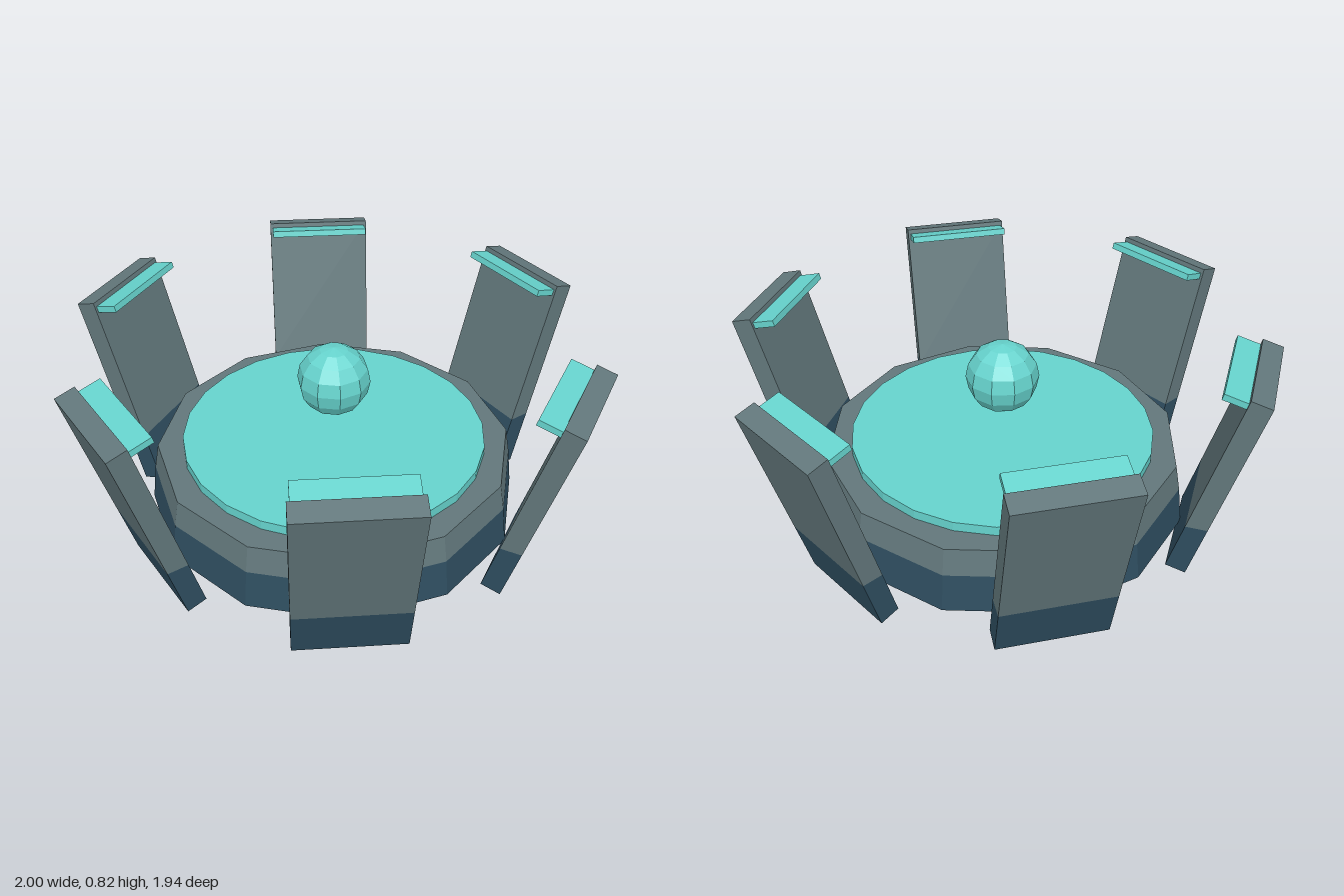
import * as THREE from 'three';

const flat = (name, color) => {
  const m = new THREE.MeshStandardMaterial({ color, flatShading: true });
  m.name = name;
  return m;
};

export function createModel() {
  const stone = flat('grey stone', 0x62777b);
  const deep = flat('dark blue stone', 0x2e4d5f);
  const teal = flat('glowing teal', 0x66d3cd);

  const model = new THREE.Group();
  model.name = 'ringPlatform';

  const add = (parent, name, geometry, material, y = 0) => {
    const mesh = new THREE.Mesh(geometry, material);
    mesh.name = name;
    mesh.position.y = y;
    parent.add(mesh);
    return mesh;
  };

  // Twelve-sided tapering base in two colour bands
  const SPLIT = 0.225;
  const band = (r0, r1, y0, y1, sides) =>
    new THREE.CylinderGeometry(r1, r0, y1 - y0, sides).translate(0, (y0 + y1) / 2, 0);
  add(model, 'baseLower', band(0.73, 0.71, 0.075, SPLIT, 12), deep);
  add(model, 'baseUpper', band(0.71, 0.69, SPLIT, 0.33, 12), stone);

  // Raised disc and floating orb
  add(model, 'disc', band(0.59, 0.59, 0.33, 0.368, 24), teal);
  add(model, 'orb', new THREE.SphereGeometry(0.14, 10, 8).rotateY(Math.PI / 2), teal, 0.61);

  // Pillar cross-section, leaning outward, in its own tilted frame
  const TILT = Math.PI / 12, HALF_T = 0.04, HALF_L = 0.41;
  const c = Math.cos(TILT), s = Math.sin(TILT);
  const point = (u, v) => new THREE.Vector2(0.855 + u * c + v * s, 0.407 - u * s + v * c);
  const slab = (points, width) =>
    new THREE.ExtrudeGeometry(new THREE.Shape(points), { depth: width, bevelEnabled: false })
      .translate(0, 0, -width / 2);

  const innerLow = point(-HALF_T, -HALF_L), outerLow = point(HALF_T, -HALF_L);
  const innerTop = point(-HALF_T, HALF_L), outerTop = point(HALF_T, HALF_L);
  const atSplit = (a, b) => a.clone().lerp(b, (SPLIT - a.y) / (b.y - a.y));
  const innerMid = atSplit(innerLow, innerTop), outerMid = atSplit(outerLow, outerTop);

  const lowerGeo = slab([innerLow, outerLow, outerMid, innerMid], 0.42);
  const upperGeo = slab([innerMid, outerMid, outerTop, innerTop], 0.42);
  const stripGeo = slab(
    [point(-0.128, 0.367), point(-0.038, 0.367), point(-0.038, 0.392), point(-0.128, 0.392)], 0.4);

  // Six pillars around the base, each with a teal strip near the top
  for (let i = 0; i < 6; i++) {
    const pillar = new THREE.Group();
    pillar.name = `pillar${i + 1}`;
    add(pillar, 'pillarLower', lowerGeo, deep);
    add(pillar, 'pillarUpper', upperGeo, stone);
    add(pillar, 'pillarStrip', stripGeo, teal);
    pillar.rotation.y = (i * Math.PI) / 3;
    model.add(pillar);
  }
  return model;
}
